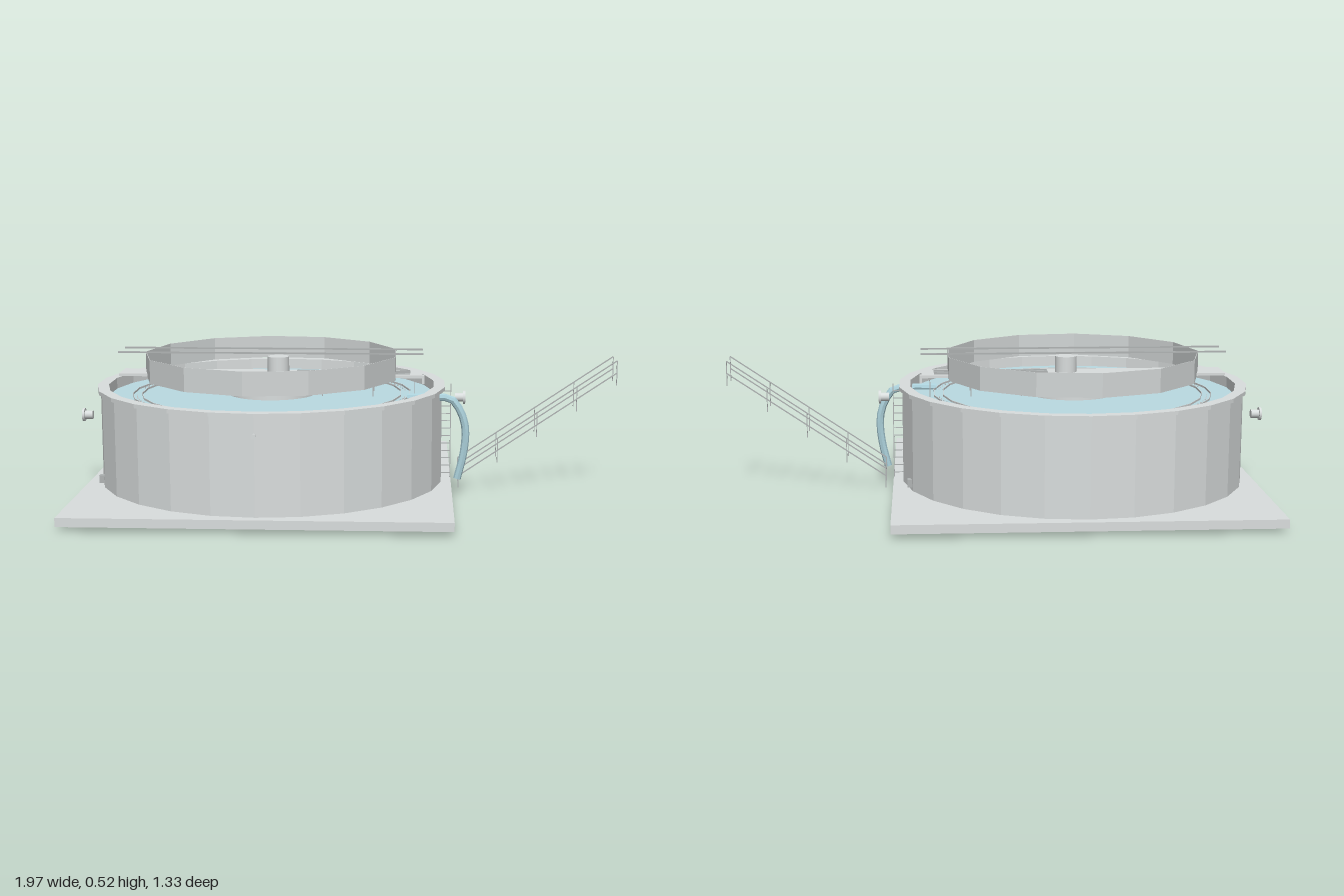
import * as THREE from 'three';
import { toCreasedNormals } from 'three/addons/utils/BufferGeometryUtils.js';

const CX = -0.26; // tank axis

export function createModel() {
  const root = new THREE.Group();
  const mat = (name, color) => {
    const m = new THREE.MeshStandardMaterial({ color });
    m.name = name;
    return m;
  };
  const concrete = mat('concrete grey', 0xd9dddd);
  const sheet = mat('sheet grey', 0xd2d6d6);
  const water = mat('water blue', 0xbadae2);
  const pipeBlue = mat('pipe blue', 0xabd0da);
  const metal = mat('metal grey', 0xb0b4b4);

  const add = (name, geo, m, x = 0, y = 0, z = 0, parent = root) => {
    const mesh = new THREE.Mesh(geo, m);
    mesh.name = name;
    mesh.position.set(x, y, z);
    parent.add(mesh);
    return mesh;
  };
  const group = (name) => {
    const g = new THREE.Group();
    g.name = name;
    root.add(g);
    return g;
  };
  const box = (name, w, h, d, m, x, y, z, parent) =>
    add(name, new THREE.BoxGeometry(w, h, d), m, x, y, z, parent);
  const cyl = (name, r, h, m, x, y, z, parent, sides = 20) =>
    add(name, new THREE.CylinderGeometry(r, r, h, sides), m, x, y, z, parent);
  // thin square bar between two points
  const bar = (name, a, b, t, m, parent) => {
    const p = new THREE.Vector3(...a), q = new THREE.Vector3(...b);
    const mesh = box(name, t, p.distanceTo(q), t, m, 0, 0, 0, parent);
    mesh.position.copy(p).add(q).multiplyScalar(0.5);
    mesh.quaternion.setFromUnitVectors(new THREE.Vector3(0, 1, 0), q.sub(p).normalize());
    return mesh;
  };
  // flat-sided turned shape, and a thin upright ring made from it
  const faceted = (points, sides, start = 0) => toCreasedNormals(
    new THREE.LatheGeometry(points.map(([r, y]) => new THREE.Vector2(r, y)), sides, start), 0.1);
  const ring = (r, t, y0, y1, sides, start) =>
    faceted([[r, y0], [r, y1], [r - t, y1], [r - t, y0], [r, y0]], sides, start);

  // Foundation
  box('foundationSlab', 1.327, 0.031, 1.33, concrete, -0.2615, 0.0315, 0);
  cyl('drainPlug', 0.002, 0.02, concrete, CX, 0.01, 0, root, 6);

  // Tank wall, rim and water
  add('tankWall', faceted([[0.63, 0.045], [0.63, 0.39], [0.605, 0.39], [0.605, 0.3]], 26), concrete, CX);
  add('tankRim', faceted([[0.63, 0.386], [0.641, 0.386], [0.641, 0.4], [0.6, 0.4], [0.6, 0.35]], 26), concrete, CX);
  cyl('waterSurface', 0.603, 0.02, water, CX, 0.35, 0, root, 52);

  // Raised baffle ring
  add('baffleRing', ring(0.47, 0.002, 0.427, 0.512, 13, -Math.PI / 2), sheet, CX);

  // Overflow weirs with small teeth on the diagonals
  const weirs = group('overflowWeirs');
  for (const r of [0.48, 0.514]) {
    add('weirBand', ring(r, 0.002, 0.358, 0.367, 26), sheet, CX, 0, 0, weirs);
  }
  for (let quarter = 0; quarter < 4; quarter++) {
    for (let i = 0; i < 20; i++) {
      const a = quarter * Math.PI / 2 + 0.17 + i * 0.065;
      const tooth = box('weirTooth', 0.005, 0.005, 0.003, sheet,
        CX + 0.497 * Math.sin(a), 0.362, 0.497 * Math.cos(a), weirs);
      tooth.rotation.y = a;
    }
  }

  // Central feed well and drive
  cyl('feedWell', 0.16, 0.04, concrete, CX, 0.365, 0, root, 32);
  cyl('feedColumn', 0.092, 0.075, concrete, CX, 0.3925, 0, root, 24);
  cyl('driveMotor', 0.04, 0.06, concrete, -0.237, 0.468, 0, root, 20);

  // Bridge with grating, posts and handrails
  const bridge = group('bridge');
  box('bridgeDeck', 1.115, 0.01, 0.125, concrete, -0.2625, 0.434, 0, bridge);
  for (let i = 0; i < 7; i++) {
    box('gratingBar', 0.42, 0.003, 0.0035, metal, 0.04, 0.4405, -0.039 + i * 0.013, bridge);
  }
  for (const z of [-0.061, 0.061]) {
    bar('handrail', [-0.82, 0.518, z], [0.297, 0.518, z], 0.006, metal, bridge);
    for (const x of [-0.07, 0.115, 0.265]) {
      bar('bridgePost', [x, 0.36, z], [x, 0.432, z], 0.003, metal, bridge);
    }
  }
  box('bridgeBearing', 0.01, 0.03, 0.02, concrete, 0.298, 0.415, 0, bridge);

  // Wall ladder: one pole with short rungs reaching the wall
  const ladder = group('wallLadder');
  bar('ladderPole', [0.4, 0.047, 0], [0.4, 0.4, 0], 0.003, metal, ladder);
  for (let i = 0; i < 12; i++) {
    const y = 0.065 + i * 0.028;
    bar('ladderRung', [0.36, y, 0], [0.4, y, 0], 0.003, metal, ladder);
  }

  // Sloping stair rails
  const stairs = group('stairRails');
  for (const z of [-0.056, 0.052]) {
    bar('upperRail', [0.43, 0.11, z], [0.998, 0.497, z], 0.004, metal, stairs);
    bar('lowerRail', [0.43, 0.065, z], [0.998, 0.452, z], 0.004, metal, stairs);
    for (let i = 0; i < 5; i++) {
      const x = 0.43 + i * 0.142, y = 0.11 + i * 0.0965;
      bar('railPost', [x, y - 0.09, z], [x, y, z], 0.003, metal, stairs);
    }
  }

  // Outlet pipe curving down the wall
  const path = new THREE.CatmullRomCurve3([
    [0.24, 0.365], [0.34, 0.367], [0.4, 0.36], [0.436, 0.31], [0.452, 0.25], [0.446, 0.16], [0.424, 0.066],
  ].map(([x, y]) => new THREE.Vector3(x, y, 0.1)));
  add('outletPipe', toCreasedNormals(new THREE.TubeGeometry(path, 14, 0.014, 8), 0.3), pipeBlue);
  const pipeCap = add('pipeCap', new THREE.CircleGeometry(0.014, 8), pipeBlue, 0.424, 0.066, 0.1);
  pipeCap.rotation.x = Math.PI / 2;

  // Flanged nozzles on both sides
  const nozzle = (name, x, y, dir) => {
    const g = group(name);
    g.position.set(x, y, 0);
    g.rotation.z = -dir * Math.PI / 2;
    cyl('nozzleNeck', 0.016, 0.035, concrete, 0, 0, 0, g, 16);
    cyl('nozzleFlange', 0.025, 0.008, concrete, 0, 0.016, 0, g, 16);
  };
  nozzle('leftNozzle', 0.433, 0.35, 1);
  nozzle('rightNozzle', -0.952, 0.272, -1);

  // Small front spigot and wall boxes
  const spigot = group('frontSpigot');
  spigot.position.set(CX, 0.326, 0.642);
  spigot.rotation.x = Math.PI / 2;
  cyl('spigotNeck', 0.006, 0.03, concrete, 0, 0, 0, spigot, 12);
  cyl('spigotFlange', 0.009, 0.005, concrete, 0, 0.012, 0, spigot, 12);
  box('leftWallBox', 0.03, 0.028, 0.03, metal, 0.335, 0.071, -0.195);
  box('rightWallBox', 0.02, 0.028, 0.03, metal, -0.862, 0.073, 0.195);

  return root;
}
